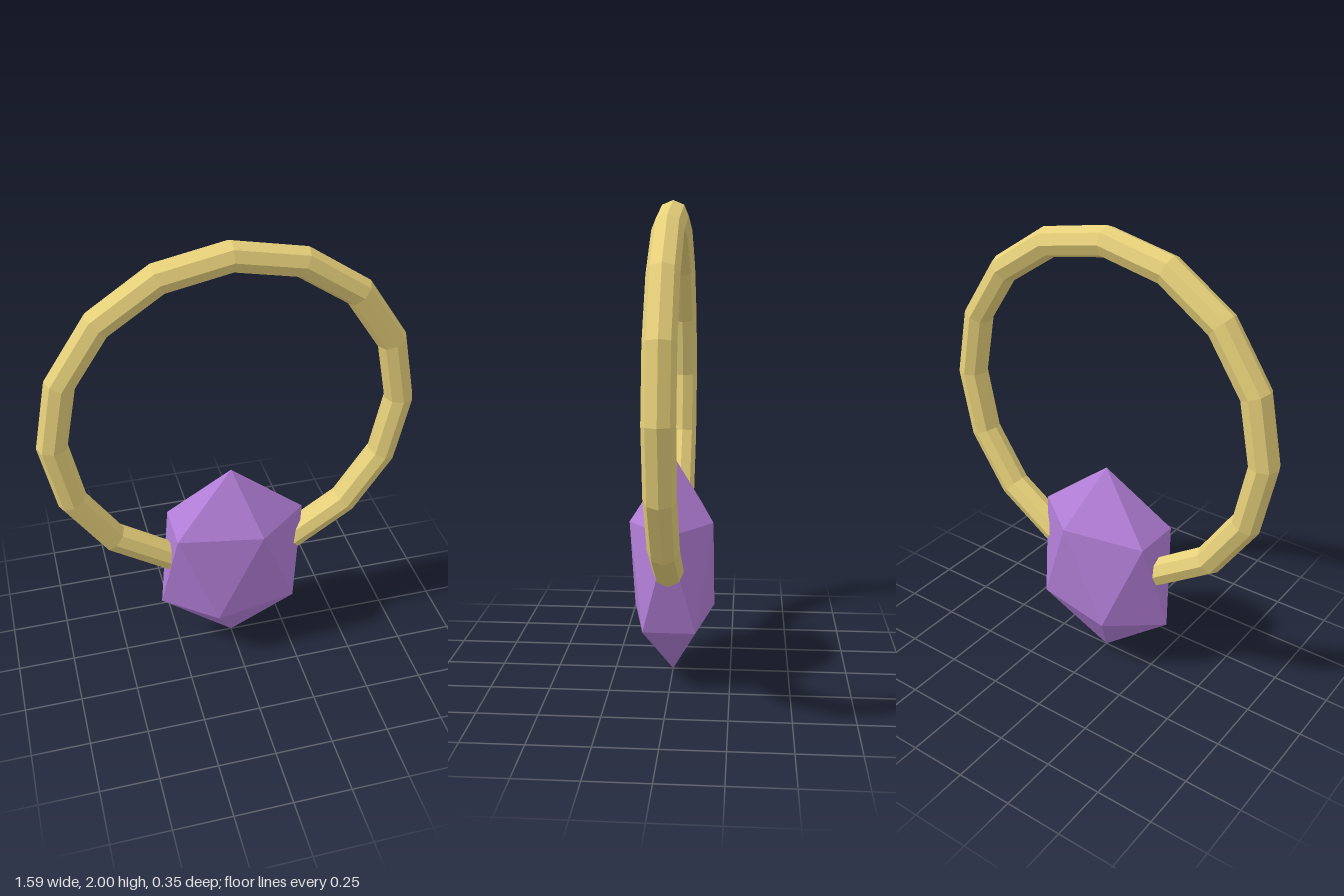
import * as THREE from 'three';

export function createModel() {
  const group = new THREE.Group();
  const gold = new THREE.MeshStandardMaterial({ color: 0xe6d07a, flatShading: true });
  const purple = new THREE.MeshStandardMaterial({ color: 0xb07dd4, flatShading: true });

  // Faceted hoop, its lowest stretch running through the gem
  const hoop = new THREE.Mesh(new THREE.TorusGeometry(0.73, 0.063, 8, 16), gold);
  hoop.name = 'hoop';
  hoop.position.y = 1.207;
  group.add(hoop);

  // Gem: an icosahedron stood on one corner, then stretched tall and flattened in depth
  const gemGeometry = new THREE.IcosahedronGeometry(1, 0);
  gemGeometry.rotateZ(-Math.atan(2 / (1 + Math.sqrt(5))));
  gemGeometry.scale(0.363, 0.476, 0.206);
  const gem = new THREE.Mesh(gemGeometry, purple);
  gem.name = 'gem';
  gem.position.y = 0.476;
  group.add(gem);

  return group;
}
